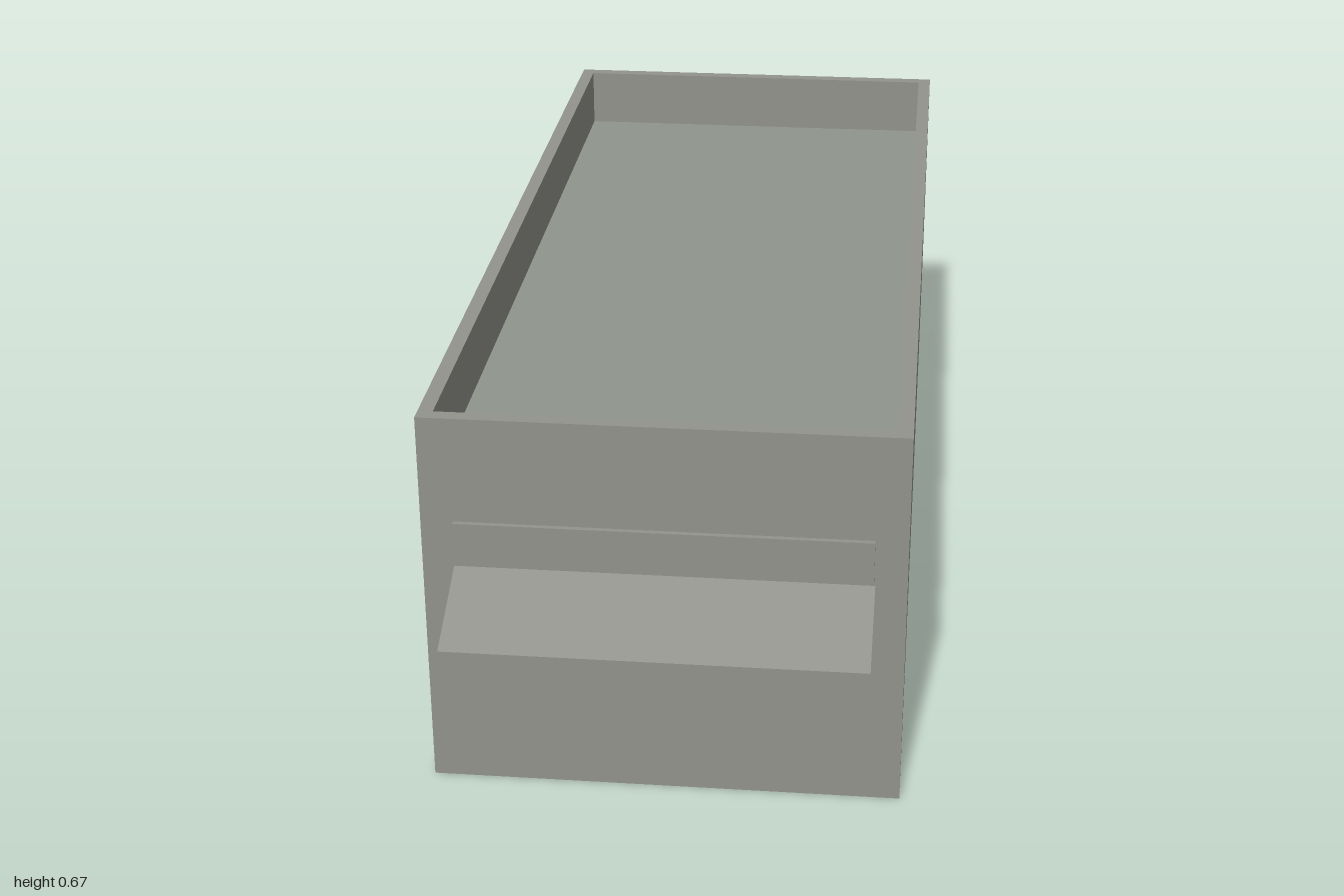
import * as THREE from 'three';

const W = 0.395, H = 0.673, BACK = -1, FRONT = 0.845; // shell extents
const RIM = 0.025, ROOF_Y = 0.558;

// Flat quads skinned between successive rows of points
function loft(rows, closed) {
  const pos = [];
  for (let r = 0; r < rows.length - 1; r++) {
    const a = rows[r], b = rows[r + 1], n = a.length;
    for (let i = 0; i < (closed ? n : n - 1); i++) {
      const j = (i + 1) % n;
      pos.push(...a[i], ...a[j], ...b[j], ...a[i], ...b[j], ...b[i]);
    }
  }
  const g = new THREE.BufferGeometry();
  g.setAttribute('position', new THREE.Float32BufferAttribute(pos, 3));
  g.computeVertexNormals();
  return g;
}

// Rectangular loop at height y, inset from the outer walls
function loop(y, inset) {
  const x = W - inset, f = FRONT - inset, b = BACK + inset;
  return [[-x, y, f], [x, y, f], [x, y, b], [-x, y, b]];
}

export function createModel() {
  const group = new THREE.Group();
  const wallGrey = new THREE.MeshStandardMaterial({ color: 0x91938c, side: THREE.DoubleSide });
  wallGrey.name = 'wallGrey';
  const roofGrey = new THREE.MeshStandardMaterial({ color: 0x8f948d, side: THREE.DoubleSide });
  roofGrey.name = 'roofGrey';

  const add = (name, geometry, material) => {
    const mesh = new THREE.Mesh(geometry, material);
    mesh.name = name;
    group.add(mesh);
    return mesh;
  };

  // Outer walls, parapet top and inner parapet faces; open underneath
  add('wallsAndParapet', loft([loop(0, 0), loop(H, 0), loop(H, RIM), loop(ROOF_Y, RIM)], true), wallGrey);

  // Recessed flat roof
  const roof = add('roof', new THREE.PlaneGeometry(2 * (W - RIM), FRONT - BACK - 2 * RIM), roofGrey);
  roof.rotation.x = -Math.PI / 2;
  roof.position.set(0, ROOF_Y, (FRONT + BACK) / 2);

  // Sign board above the awning
  const sign = add('signBoard', new THREE.BoxGeometry(0.682, 0.077, 0.009), wallGrey);
  sign.position.set(0, 0.4505, FRONT + 0.0045);

  // Sloped awning sheet with a hanging valance
  const row = (y, z) => [[-0.343, y, z], [0.343, y, z]];
  add('awning', loft([row(0.305, 1), row(0.338, 1), row(0.407, FRONT)], false), wallGrey);

  // Thin panel on the side wall
  const panel = add('sidePanel', new THREE.PlaneGeometry(0.34, 0.12), wallGrey);
  panel.rotation.y = -Math.PI / 2;
  panel.position.set(-W - 0.001, 0.52, -0.53);

  return group;
}
